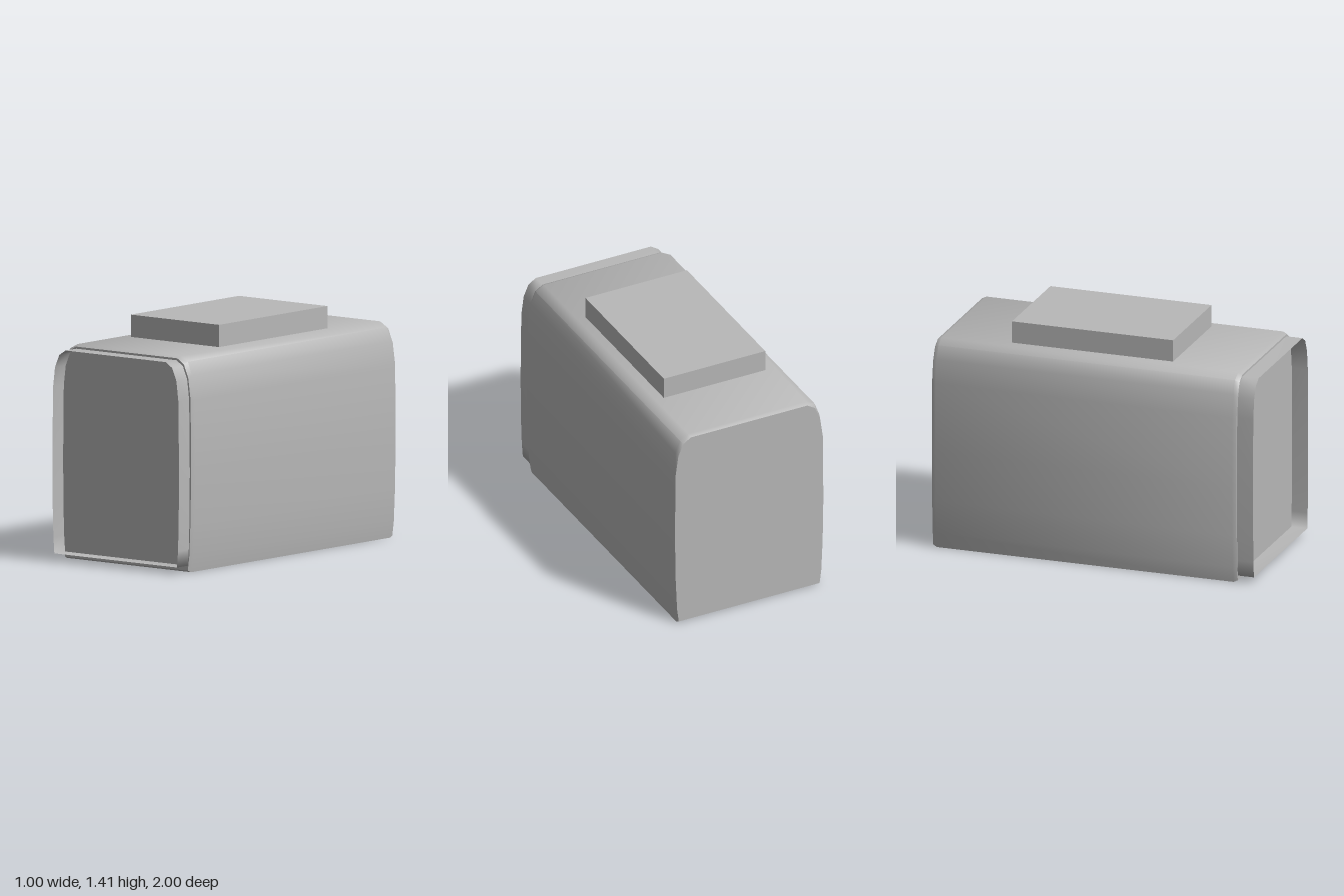
import * as THREE from 'three';
import { toCreasedNormals } from 'three/addons/utils/BufferGeometryUtils.js';

// Half outlines [x, y], from the top corner down to the bottom corner
const OUTER = [[0.39, 1.28], [0.445, 1.25], [0.475, 1.17], [0.495, 1.03], [0.5, 0.6], [0.495, 0.3], [0.485, 0.1], [0.47, 0.004]];
const INSET = [[0.385, 1.268], [0.435, 1.236], [0.468, 1.158], [0.486, 1.03], [0.49, 0.6], [0.485, 0.3], [0.476, 0.1], [0.465, 0.015]];
const RIM = [[0.38, 1.256], [0.428, 1.225], [0.46, 1.15], [0.475, 1.03], [0.48, 0.6], [0.477, 0.3], [0.472, 0.14], [0.465, 0.045]];

// Skins mirrored half outlines placed along z, with optional flat end caps
function loft(sections, capped) {
  const positions = [], index = [];
  const n = sections[0].half.length * 2;
  for (const { half, z } of sections) {
    const left = half.map(([x, y]) => [-x, y]).reverse();
    for (const [x, y] of [...half, ...left]) positions.push(x, y, z);
  }
  for (let s = 0; s < sections.length - 1; s++) {
    for (let i = 0; i < n; i++) {
      const a = s * n + i, c = s * n + (i + 1) % n;
      index.push(a, a + n, c, c, a + n, c + n);
    }
  }
  if (capped) {
    const last = sections.length - 1;
    for (const s of [0, last]) {
      const centre = positions.length / 3;
      positions.push(0, 0.64, sections[s].z);
      for (let i = 0; i < n; i++) {
        const a = s * n + i, b = s * n + (i + 1) % n;
        if (s === 0) index.push(centre, a, b);
        else index.push(centre, b, a);
      }
    }
  }
  const geometry = new THREE.BufferGeometry();
  geometry.setAttribute('position', new THREE.Float32BufferAttribute(positions, 3));
  geometry.setIndex(index);
  geometry.computeVertexNormals();
  return geometry;
}

export function createModel() {
  const model = new THREE.Group();
  model.name = 'roundedHousing';
  const grey = new THREE.MeshStandardMaterial({ color: 0xb8b8b8, side: THREE.DoubleSide });
  grey.name = 'grey';

  const add = (name, geometry) => {
    const mesh = new THREE.Mesh(geometry, grey);
    mesh.name = name;
    model.add(mesh);
    return mesh;
  };

  // Long body with softly bevelled ends
  add('body', toCreasedNormals(loft([
    { half: INSET, z: -1 },
    { half: OUTER, z: -0.975 },
    { half: OUTER, z: 0.875 },
    { half: INSET, z: 0.9 },
  ], true), 0.8));

  // Thin open rim standing out from the front face
  add('frontRim', loft([{ half: RIM, z: 0.9 }, { half: RIM, z: 1 }], false));

  // Flat block on the roof
  add('topBlock', new THREE.BoxGeometry(0.67, 0.14, 1.005)).position.set(0, 1.342, -0.053);

  return model;
}
